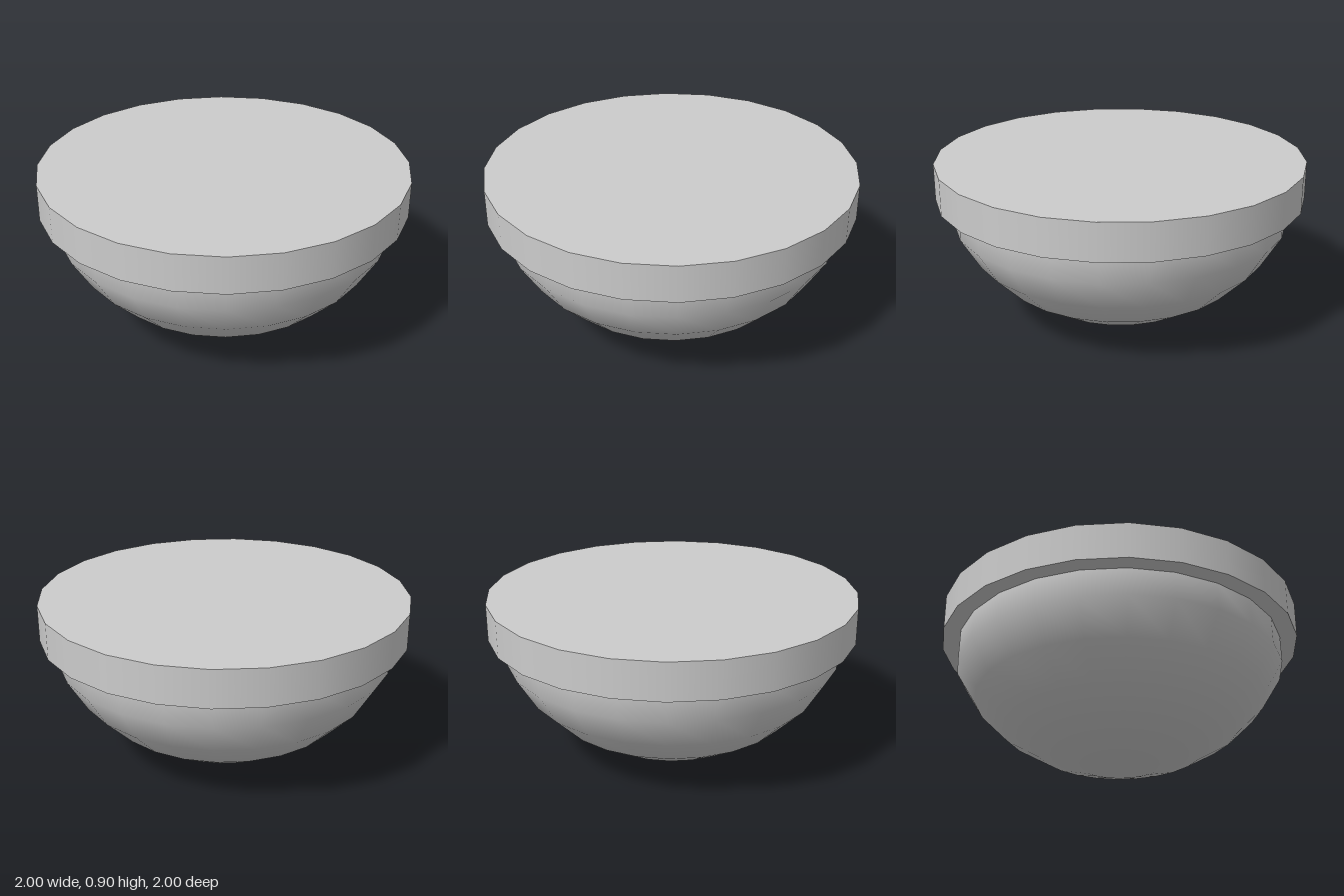
import * as THREE from 'three';

export function createModel() {
  const model = new THREE.Group();
  const material = new THREE.MeshStandardMaterial({ color: 0xcccccc });
  const sides = 24;
  const turn = THREE.MathUtils.degToRad(6);

  // Solid flat disc closing the top and overhanging the bowl
  const rim = new THREE.Mesh(
    new THREE.CylinderGeometry(1.005, 1.005, 0.2, sides, 1, false, turn), material);
  rim.name = 'rim';
  rim.position.y = 0.8;
  model.add(rim);

  // Rounded bowl with a short straight wall under the rim
  const profile = [
    [0, 0], [0.236, 0.026], [0.458, 0.10], [0.652, 0.217],
    [0.807, 0.372], [0.914, 0.55], [0.911, 0.70],
  ].map(([r, y]) => new THREE.Vector2(r, y));
  const bowl = new THREE.Mesh(new THREE.LatheGeometry(profile, sides, turn), material);
  bowl.name = 'bowl';
  model.add(bowl);

  return model;
}
